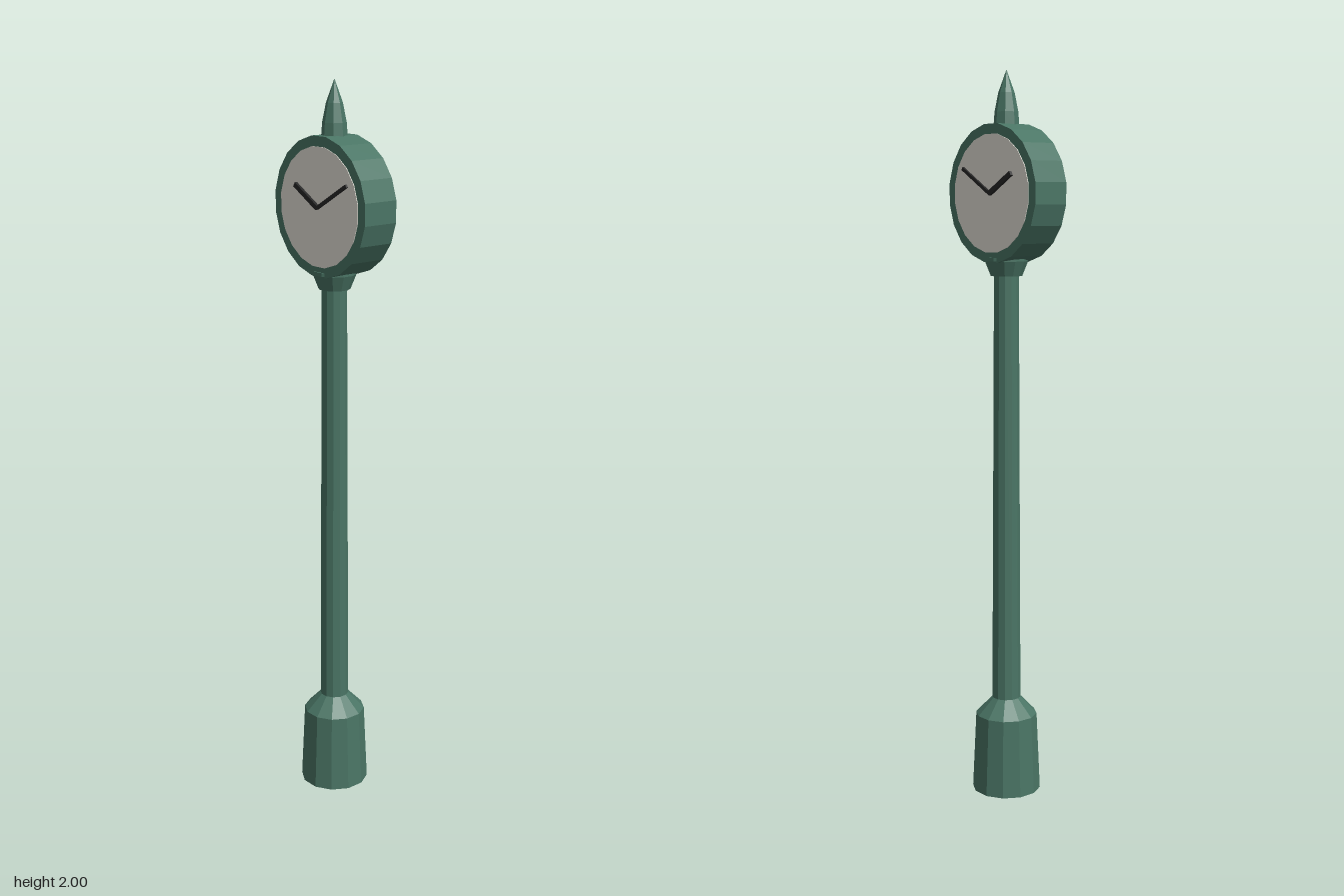
import * as THREE from 'three';

const mat = (color) => new THREE.MeshStandardMaterial({ color, flatShading: true });

export function createModel() {
  const group = new THREE.Group();
  const green = mat(0x4a7565), cream = mat(0xe4e1d8), dark = mat(0x262626);
  const clockY = 1.675;

  const add = (name, geometry, material, parent = group) => {
    const mesh = new THREE.Mesh(geometry, material);
    mesh.name = name;
    parent.add(mesh);
    return mesh;
  };
  // Turned part from [radius, height] pairs, given from bottom to top
  const turned = (name, points, sides, turn = 0) =>
    add(name, new THREE.LatheGeometry(points.map(([r, y]) => new THREE.Vector2(r, y)), sides, turn), green);
  // Disc lying across z, with a flat facet on top
  const disc = (radius, depth) =>
    new THREE.CylinderGeometry(radius, radius, depth, 20, 1, false, Math.PI / 20).rotateX(Math.PI / 2);

  // Post: footing with sloped shoulder, tapering pole, flared collar
  const turn = Math.PI / 12;
  turned('base', [[0, 0], [0.096, 0], [0.086, 0.22], [0.04, 0.268]], 12, turn);
  turned('pole', [[0.04, 0.26], [0.034, 1.47]], 12, turn);
  turned('collar', [[0, 1.455], [0.043, 1.455], [0.059, 1.495], [0.059, 1.505], [0, 1.505]], 12, turn);

  // Clock drum and the spike on top
  add('clockHousing', disc(0.185, 0.106), green).position.y = clockY;
  turned('finial', [[0, 1.85], [0.035, 1.85], [0.032, 1.89], [0.022, 1.94], [0, 2]], 8);

  // A dial with two hands on the front and the back
  for (const side of [1, -1]) {
    const dial = new THREE.Group();
    dial.name = side > 0 ? 'frontDial' : 'backDial';
    dial.position.y = clockY;
    group.add(dial);
    add('face', disc(0.158, 0.004), cream, dial).position.z = side * 0.053;

    const hand = (name, length, width, angle, top) => {
      const depth = top - 0.054;
      const geometry = new THREE.BoxGeometry(length, width, depth).translate(length / 2, 0, 0);
      const mesh = add(name, geometry, dark, dial);
      mesh.rotation.z = angle;
      mesh.position.z = side * (0.054 + depth / 2);
    };
    hand('minuteHand', 0.135, 0.009, Math.PI / 6, 0.061);
    hand('hourHand', 0.105, 0.013, Math.PI * 5 / 6, 0.063);
  }
  return group;
}
